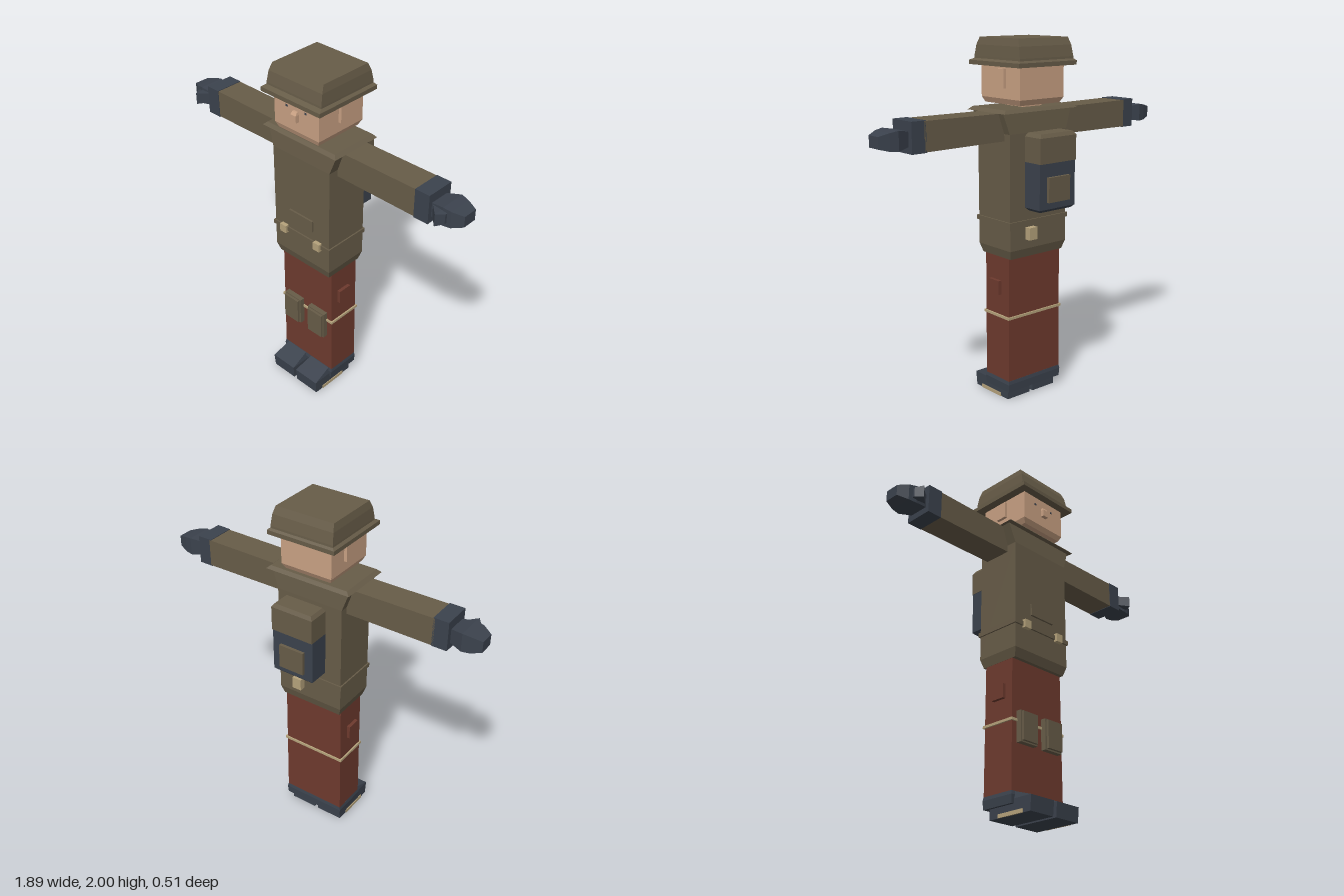
import * as THREE from 'three';

const mat = (name, color) => {
  const m = new THREE.MeshStandardMaterial({ color });
  m.name = name;
  return m;
};

// Lofts rectangles [pos, u0, u1, z0, z1]. axis 0: pos is y and u is x; axis +1/-1: pos is +x/-x and u is y.
function loft(rows, axis = 0) {
  const pts = [], idx = [];
  const flip = axis === 1;
  const tri = (a, b, c) => (flip ? idx.push(a, c, b) : idx.push(a, b, c));
  for (const [p, u0, u1, z0, z1] of rows)
    for (const [u, z] of [[u0, z0], [u0, z1], [u1, z1], [u1, z0]])
      axis ? pts.push(axis * p, u, z) : pts.push(u, p, z);
  for (let r = 0; r < rows.length - 1; r++)
    for (let i = 0; i < 4; i++) {
      const a = r * 4 + i, b = r * 4 + (i + 1) % 4;
      tri(a, b, b + 4);
      tri(a, b + 4, a + 4);
    }
  const t = (rows.length - 1) * 4;
  tri(0, 2, 1); tri(0, 3, 2);
  tri(t, t + 1, t + 2); tri(t, t + 2, t + 3);
  const indexed = new THREE.BufferGeometry();
  indexed.setAttribute('position', new THREE.Float32BufferAttribute(pts, 3));
  indexed.setIndex(idx);
  const g = indexed.toNonIndexed();
  g.computeVertexNormals();
  return g;
}

// Symmetric row: height, half width, back, front
const row = (y, w, z0, z1) => [y, -w, w, z0, z1];

export function createModel() {
  const root = new THREE.Group();
  root.name = 'figure';
  const olive = mat('olive cloth', 0x675c48);
  const brown = mat('red brown trousers', 0x6e3a2e);
  const slate = mat('slate leather', 0x3b424d);
  const skin = mat('skin', 0xc9a183);
  const tan = mat('tan trim', 0xb5a27b);

  const add = (name, geometry, material) => {
    const m = new THREE.Mesh(geometry, material);
    m.name = name;
    root.add(m);
    return m;
  };
  const box = (name, material, x0, x1, y0, y1, z0, z1) =>
    add(name, new THREE.BoxGeometry(x1 - x0, y1 - y0, z1 - z0), material)
      .position.set((x0 + x1) / 2, (y0 + y1) / 2, (z0 + z1) / 2);
  // Box between -x and +x bounds mirrored with the side sign
  const sideBox = (name, material, s, a, b, ...rest) =>
    box(name, material, Math.min(s * a, s * b), Math.max(s * a, s * b), ...rest);

  // Trousers and their trim
  add('trousers', loft([row(0.09, 0.188, -0.058, 0.138), row(0.85, 0.184, -0.058, 0.138)]), brown);
  box('trouserBand', tan, -0.195, 0.195, 0.484, 0.498, -0.066, 0.146);

  // Tunic, collar and belt
  add('tunic', loft([
    row(0.83, 0.185, -0.075, 0.16), row(0.88, 0.2, -0.09, 0.175),
    row(1.51, 0.2, -0.09, 0.175), row(1.625, 0.24, -0.083, 0.165),
  ]), olive);
  add('collar', loft([row(1.622, 0.256, -0.115, 0.192), row(1.64, 0.235, -0.1, 0.175)]), olive);
  box('belt', olive, -0.208, 0.208, 1.015, 1.04, -0.098, 0.184);
  box('frontPocket', olive, -0.085, 0.085, 1.098, 1.166, 0.17, 0.186);
  box('backPouch', tan, 0.037, 0.093, 0.932, 1.0, -0.125, -0.085);

  // Backpack
  add('packLower', loft([
    row(1.105, 0.11, -0.225, -0.135), row(1.12, 0.125, -0.24, -0.125), row(1.37, 0.125, -0.24, -0.125),
  ]), slate);
  add('packUpper', loft([
    row(1.365, 0.126, -0.247, -0.124), row(1.5, 0.126, -0.247, -0.124), row(1.52, 0.112, -0.235, -0.134),
  ]), olive);
  box('packPocket', olive, -0.075, 0.075, 1.158, 1.292, -0.258, -0.235);

  // Neck, head and face
  box('neck', skin, -0.065, 0.065, 1.63, 1.67, -0.04, 0.11);
  add('head', loft([
    row(1.655, 0.138, -0.1, 0.188), row(1.685, 0.153, -0.117, 0.2), row(1.87, 0.153, -0.117, 0.2),
  ]), skin);
  add('nose', loft([row(1.745, 0.018, 0.19, 0.222), row(1.785, 0.018, 0.19, 0.222), row(1.8, 0.015, 0.19, 0.212)]), skin);

  // Helmet with flared brim
  add('helmet', loft([
    row(1.87, 0.187, -0.157, 0.219), row(1.9, 0.186, -0.155, 0.217),
    row(1.96, 0.181, -0.143, 0.205), row(2, 0.172, -0.126, 0.187),
  ]), olive);
  add('brim', loft([
    row(1.855, 0.201, -0.166, 0.244), row(1.878, 0.201, -0.166, 0.244), row(1.889, 0.186, -0.155, 0.217),
  ]), olive);

  // Boot cuff around both trouser legs
  add('bootCuff', loft([row(0.055, 0.188, -0.06, 0.14), row(0.1, 0.192, -0.062, 0.144), row(0.12, 0.188, -0.059, 0.139)]), slate);

  for (const s of [1, -1]) {
    const side = s > 0 ? 'left' : 'right';
    sideBox(side + 'Ear', skin, s, 0.14, 0.17, 1.74, 1.84, -0.005, 0.06);
    sideBox(side + 'Eye', slate, s, 0.058, 0.072, 1.803, 1.814, 0.196, 0.202);
    sideBox(side + 'BeltPouch', tan, s, 0.102, 0.146, 1.003, 1.05, 0.17, 0.198);
    sideBox(side + 'KneePad', olive, s, 0.04, 0.145, 0.38, 0.535, 0.13, 0.182);
    sideBox(side + 'KneePadBase', olive, s, 0.03, 0.152, 0.372, 0.542, 0.13, 0.168);
    sideBox(side + 'ThighPocket', brown, s, 0.17, 0.204, 0.615, 0.695, 0.007, 0.09);

    // Arm, glove cuff, hand and thumb
    add(side + 'Sleeve', loft([
      [0.15, 1.472, 1.618, -0.045, 0.115], [0.7, 1.468, 1.622, -0.045, 0.115],
    ], s), olive);
    add(side + 'GloveCuff', loft([
      [0.69, 1.465, 1.625, -0.045, 0.118], [0.775, 1.465, 1.625, -0.045, 0.118],
    ], s), slate);
    add(side + 'Hand', loft([
      [0.77, 1.5, 1.575, -0.015, 0.095], [0.845, 1.488, 1.588, -0.04, 0.105],
      [0.89, 1.49, 1.58, -0.032, 0.098], [0.944, 1.505, 1.565, -0.015, 0.068],
    ], s), slate);
    add(side + 'Thumb', loft([
      [0.785, 1.515, 1.57, 0.06, 0.1], [0.838, 1.505, 1.572, 0.07, 0.155],
      [0.868, 1.51, 1.565, 0.07, 0.115],
    ], s), slate);

    // Boot with sloping toe and a trim strip along the outer sole
    const span = (a, b) => (s > 0 ? [a, b] : [-b, -a]);
    add(side + 'Boot', loft([
      [0, ...span(0.012, 0.172), -0.03, 0.25], [0.08, ...span(0.01, 0.174), -0.03, 0.257],
      [0.12, ...span(0.022, 0.164), -0.03, 0.135],
    ]), slate);
    sideBox(side + 'SoleTrim', tan, s, 0.169, 0.177, 0, 0.02, 0.03, 0.2);
  }
  return root;
}
